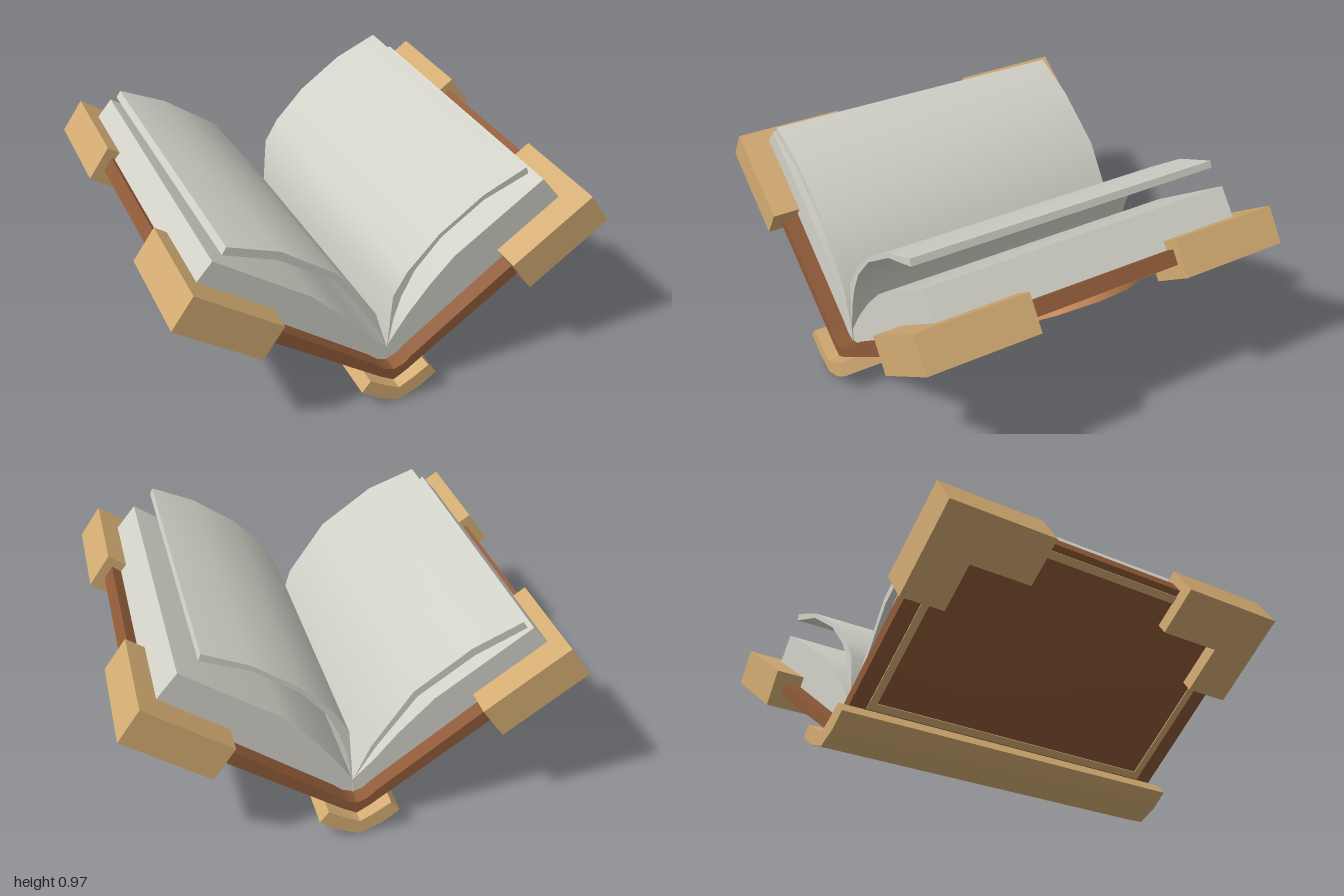
import * as THREE from 'three';
import { toCreasedNormals } from 'three/addons/utils/BufferGeometryUtils.js';

const mat = (name, color) => new THREE.MeshStandardMaterial({ name, color });

export function createModel() {
  const leather = mat('brown leather', 0x8f5a38);
  const gold = mat('gold', 0xd3ab72);
  const copper = mat('copper', 0xd08b57);
  const amber = mat('amber', 0xb07a40);
  const paper = mat('paper', 0xd2d1c8);
  const book = new THREE.Group();
  book.name = 'openBook';

  const add = (parent, name, geometry, material) => {
    const mesh = new THREE.Mesh(geometry, material);
    mesh.name = name;
    parent.add(mesh);
    return mesh;
  };
  const shapeOf = (pts) => new THREE.Shape(pts.map(([x, y]) => new THREE.Vector2(x, y)));

  // Extrudes a cross-section along z, centred; move() may shift its vertices
  const extrude = (pts, halfDepth, move) => {
    const g = new THREE.ExtrudeGeometry(shapeOf(pts), { depth: halfDepth * 2, bevelEnabled: false });
    g.translate(0, 0, -halfDepth);
    if (move) {
      const p = g.attributes.position;
      for (let i = 0; i < p.count; i++) {
        const [dx, dy] = move(p.getX(i), p.getY(i), p.getZ(i));
        p.setXY(i, p.getX(i) + dx, p.getY(i) + dy);
      }
    }
    return toCreasedNormals(g, 0.6);
  };
  // Closes a half profile with its mirror image
  const mirrored = (pts) => [
    ...pts,
    ...pts.filter(([x]) => x > 0).reverse().map(([x, y]) => [-x, y]),
  ];
  // Closed strip symmetric about x = 0: outer and inner lines run from the centre outwards
  const strip = (outer, inner) => {
    const right = [...outer, ...inner.slice().reverse()];
    return mirrored(right);
  };

  // Leather cover, one bent sheet
  add(book, 'cover', extrude(strip(
    [[0, 0.072], [0.06, 0.106], [0.93, 0.715]],
    [[0, 0.13], [0.045, 0.145], [0.09, 0.185], [0.89, 0.772]],
  ), 0.83), leather);

  // Gold spine guard
  add(book, 'spine', extrude(strip(
    [[0, 0], [0.1, 0.042], [0.18, 0.1]],
    [[0, 0.07], [0.06, 0.1], [0.14, 0.15]],
  ), 0.885), gold);

  // Page blocks
  add(book, 'rightPageBlock', extrude([
    [0, 0.13], [0.045, 0.145], [0.09, 0.185], [0.85, 0.742], [0.733, 0.885],
    [0.315, 0.596], [0.2, 0.475], [0.1, 0.35], [0, 0.2],
  ], 0.75), paper);
  add(book, 'leftPageBlock', extrude([
    [0, 0.13], [-0.045, 0.145], [-0.09, 0.185], [-0.876, 0.762], [-0.78, 0.874],
    [-0.36, 0.58], [-0.2, 0.42], [-0.1, 0.3], [0, 0.2],
  ], 0.755), paper);

  // Raised sheaves; the left one twists slightly towards the back
  add(book, 'leftSheaf', extrude([
    [0, 0.195], [-0.06, 0.4], [-0.24, 0.66], [-0.49, 0.84], [-0.72, 0.925],
    [-0.74, 0.893], [-0.505, 0.805], [-0.258, 0.632], [-0.08, 0.39],
  ], 0.755, (x, y, z) => {
    if (z > 0) return [0, 0];
    const k = Math.min(1, (y - 0.195) / 0.2) * (y > 0.86 ? 0.5 : 1);
    return [-0.02 * k, -0.03 * k];
  }), paper);
  add(book, 'rightSheaf', extrude([
    [0, 0.195], [0.027, 0.35], [0.06, 0.457], [0.12, 0.58], [0.24, 0.718],
    [0.44, 0.858], [0.647, 0.938], [0.636, 0.97], [0.433, 0.88],
    [0.23, 0.735], [0.085, 0.58], [0.02, 0.468],
  ], 0.755, (x, y, z) => [0, z < 0 ? -0.006 * Math.min(1, y - 0.195) : 0]), paper);

  // Fittings on each board: local x runs up the board, y is its inner normal
  for (const side of ['left', 'right']) {
    const half = new THREE.Group();
    half.name = side + 'BoardFittings';
    if (side === 'right') half.rotation.y = Math.PI;
    book.add(half);
    const board = new THREE.Group();
    board.name = side + 'Board';
    board.position.y = 0.064;
    board.rotation.z = THREE.MathUtils.degToRad(35);
    half.add(board);

    for (const e of [1, -1]) {
      // L-shaped corner guards
      const g = new THREE.ExtrudeGeometry(shapeOf([
        [0.725, 0.67 * e], [0.95, 0.67 * e], [0.95, 0.365 * e],
        [1.178, 0.365 * e], [1.178, 0.885 * e], [0.725, 0.885 * e],
      ]), { depth: 0.172, bevelEnabled: false });
      g.rotateX(Math.PI / 2).translate(0, 0.11, 0);
      add(board, 'cornerGuard', g, gold);

      // Inlaid border, long sides
      add(board, 'borderSide', new THREE.BoxGeometry(0.94, 0.006, 0.036), gold)
        .position.set(0.635, -0.002, 0.732 * e);
    }
    // Inlaid border, top and bottom
    for (const s of [0.183, 1.087])
      add(board, 'borderEnd', new THREE.BoxGeometry(0.036, 0.006, 1.43), gold)
        .position.set(s, -0.002, 0);

    // Medallion on one board only
    if (side === 'left') {
      add(board, 'medallion', new THREE.CylinderGeometry(0.37, 0.37, 0.045, 12), copper)
        .position.set(0.665, -0.02, -0.005);
      add(board, 'medallionCentre', new THREE.CylinderGeometry(0.138, 0.138, 0.006, 16), amber)
        .position.set(0.665, -0.043, -0.005);
    }
  }
  return book;
}
